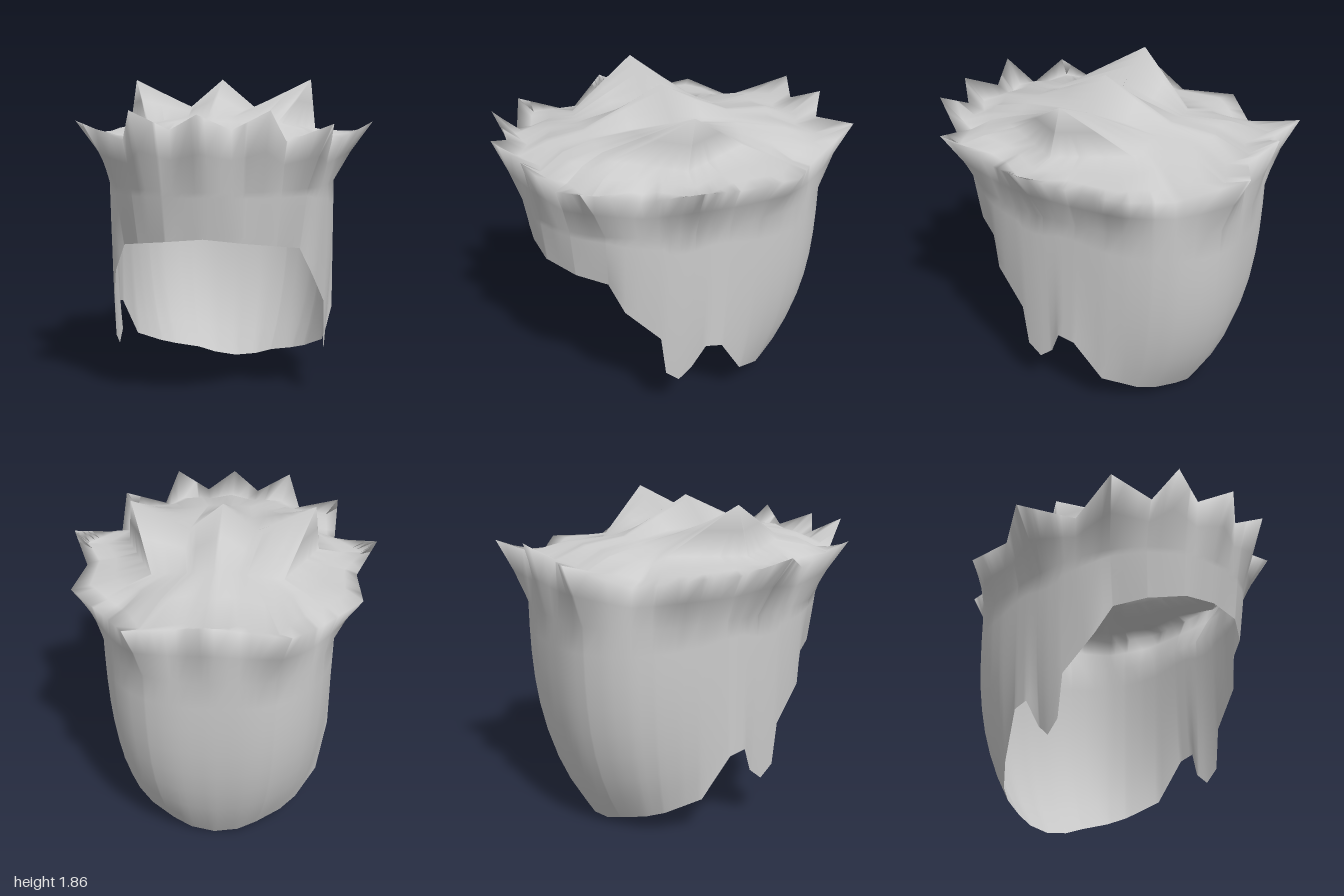
import * as THREE from 'three';

// Half outlines running front to back as [x, y, z]; the other half is mirrored.
const rim = [ // alternating spike tips and valleys
  [0, 1.67, 1], [0.16, 1.59, 0.87], [0.36, 1.69, 0.92], [0.43, 1.53, 0.77],
  [0.67, 1.62, 0.7], [0.65, 1.5, 0.38], [0.88, 1.62, 0.12], [0.76, 1.53, -0.13],
  [0.78, 1.55, -0.46], [0.55, 1.49, -0.65], [0.41, 1.63, -0.99], [0.16, 1.59, -0.89], [0, 1.675, -1],
];
const hairline = [ // forehead, sideburn, ear gap, nape
  [0, 1.02, 0.81], [0.2, 1.0, 0.79], [0.38, 0.97, 0.67], [0.49, 0.94, 0.52], [0.56, 0.78, 0.45],
  [0.62, 0.59, 0.26], [0.62, 0.34, 0.23], [0.62, 0.27, 0.15], [0.62, 0.34, 0.07],
  [0.66, 0.5, 0], [0.66, 0.48, -0.1], [0.6, 0.23, -0.25], [0.48, 0.14, -0.42],
  [0.39, 0.1, -0.5], [0.25, 0.06, -0.58], [0.14, 0.02, -0.61], [0, 0, -0.62],
];
const tuftBase = [ // foot of the upright crown tufts
  [0, 1.655, 0.48], [0.13, 1.65, 0.48], [0.36, 1.62, 0.45], [0.55, 1.58, 0.08],
  [0.36, 1.59, -0.33], [0.13, 1.64, -0.38], [0, 1.655, -0.38],
];

const angleOf = (p) => Math.atan2(p[0], p[2]);
const mix = (a, b, t) => a.map((v, i) => v + (b[i] - v) * t);

// Point on an outline at an angle measured from the front
function sample(outline, a) {
  let i = 0;
  while (i < outline.length - 2 && angleOf(outline[i + 1]) < a) i++;
  const a0 = angleOf(outline[i]), a1 = angleOf(outline[i + 1]);
  return mix(outline[i], outline[i + 1], THREE.MathUtils.clamp((a - a0) / (a1 - a0), 0, 1));
}

// Widest head contour: a squared ellipse, fuller at the back corners
function headPoint(a) {
  const s = Math.sin(a), c = Math.cos(a), n = c > 0 ? 2.2 : 2.8;
  const r = (Math.abs(s / 0.66) ** n + Math.abs(c / 0.87) ** n) ** (-1 / n);
  return [r * s, 1.27, r * c - 0.02];
}

// Point on the zigzag ridge of the crown tufts: peaks at the middle and both ends
function ridgePoint(base) {
  const x = 0.52 * Math.min(base[0] / 0.36, 1);
  const y = x < 0.19 ? 1.86 - 0.16 * x / 0.19 : 1.7 + 0.16 * (x - 0.19) / 0.33;
  return [x, y, 0.03];
}

// One strip of points from the hairline, over the rim, to the crown ridge
function column(a) {
  const low = sample(hairline, a), mid = headPoint(a), top = sample(rim, a);
  const bulge = 1 + 2 * Math.max(0, 1 - low[1]);
  const points = [];
  for (let k = 0; k < 8; k++) {
    const u = k / 8;
    const p = mix(low, mid, 1 - (1 - u) ** bulge);
    p[1] = low[1] + (mid[1] - low[1]) * u;
    points.push(p);
  }
  const flare = mix(mid, top, 0.45);
  flare[1] += 0.02;
  const base = sample(tuftBase, a), ridge = ridgePoint(base);
  // Shallow groove behind each spike, then the rounded shoulder of the crown
  const groove = mix(top, base, 0.25), shoulder = mix(top, base, 0.58);
  groove[1] = Math.min(top[1] + 0.02, 1.55);
  shoulder[1] = base[1] - 0.025;
  points.push(mid, flare, top, groove, shoulder, base, mix(base, ridge, 0.5), ridge);
  return points;
}

// Joins a closed loop of columns into a smooth surface
function surface(columns) {
  const rows = columns[0].length, n = columns.length, index = [];
  for (let i = 0; i < n; i++) {
    for (let j = 0; j < rows - 1; j++) {
      const a = i * rows + j, b = ((i + 1) % n) * rows + j;
      index.push(a, b, b + 1, a, b + 1, a + 1);
    }
  }
  const geometry = new THREE.BufferGeometry();
  geometry.setAttribute('position', new THREE.Float32BufferAttribute(columns.flat(2), 3));
  geometry.setIndex(index);
  geometry.computeVertexNormals();
  // Shade smoothly across the ridge, where the last points of all columns meet
  for (let i = 0; i < n; i++) geometry.attributes.normal.setXYZ(i * rows + rows - 1, 0, 1, 0);
  return geometry;
}

export function createModel() {
  // Columns at every outline corner, with even ones filling the gaps
  const corners = [...rim, ...hairline, ...tuftBase].map(angleOf);
  const fillers = Array.from({ length: 40 }, (_, i) => (i + 0.5) * Math.PI / 40)
    .filter((f) => corners.every((c) => Math.abs(c - f) > 0.03));
  const angles = [...corners, ...fillers].sort((a, b) => a - b)
    .filter((a, i, all) => i === 0 || a - all[i - 1] > 0.004);

  // Hair shell with spiked rim and upright crown tufts
  const left = angles.map(column);
  const right = left.slice(1, -1).reverse().map((c) => c.map(([x, y, z]) => [-x, y, z]));
  const material = new THREE.MeshStandardMaterial({ color: 0xcccccc, side: THREE.DoubleSide });
  const hair = new THREE.Mesh(surface([...left, ...right]), material);
  hair.name = 'hairShell';

  const group = new THREE.Group();
  group.name = 'spikyHair';
  group.add(hair);
  return group;
}
